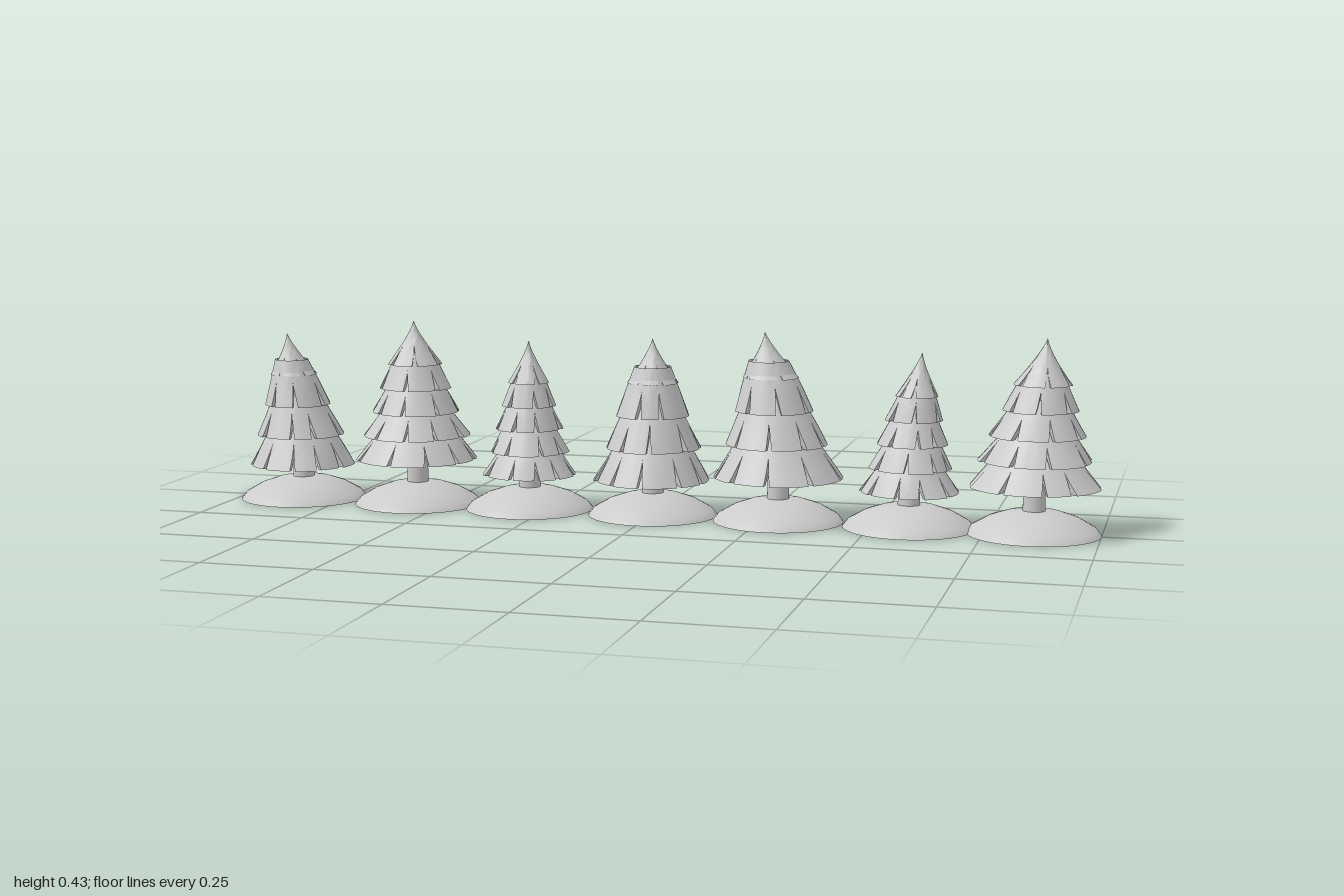
import * as THREE from 'three';
import { toCreasedNormals } from 'three/addons/utils/BufferGeometryUtils.js';

const material = new THREE.MeshStandardMaterial({ color: 0xcccccc, side: THREE.DoubleSide });

// x position, foliage bottom, tip height, skirt radius, tier count, sideways lean of the tip
const TREES = [
  [-0.855, 0.08, 0.387, 0.122, 4, -0.035],
  [-0.567, 0.105, 0.425, 0.142, 5, -0.005],
  [-0.293, 0.08, 0.387, 0.106, 5, 0],
  [0, 0.08, 0.4, 0.132, 4, 0],
  [0.29, 0.1, 0.422, 0.143, 4, -0.033],
  [0.583, 0.08, 0.387, 0.108, 5, 0.024],
  [0.855, 0.105, 0.425, 0.142, 5, 0.02],
];

function seeded(seed) {
  let s = seed;
  return () => (s = (s * 16807) % 2147483647) / 2147483647;
}

// One skirt of branches: thick panels that join at the top and part in wedge notches below
function tierGeometry({ y0, y1, radius, leaves, isTop, bend, random }) {
  const rows = 9, cols = 5, notchTop = isTop ? 0.4 : 0.5, thick = 0.013;
  const notch = Math.min(0.0065 / radius, 0.13);
  const positions = [], index = [];
  const edges = Array.from({ length: leaves }, (_, i) =>
    (i + (random() - 0.5) * 0.35) * 2 * Math.PI / leaves);
  edges.push(edges[0] + 2 * Math.PI);
  const offset = random() * 6;

  for (let leaf = 0; leaf < leaves; leaf++) {
    const start = positions.length / 3, ring = 2 * (cols + 1);
    const flare = (random() - 0.6) * 0.07;
    for (let i = 0; i <= rows; i++) {
      const t = i / rows;
      const open = Math.max(0, 1 - t / notchTop);
      const outer = radius * (isTop ? Math.pow(1 - t, 1.25) + 0.004 : 1 - 0.5 * t) * (1 + flare * open);
      const inner = Math.min(radius - thick + (0.015 - radius + thick) * t, outer * 0.85);
      const a0 = edges[leaf] + notch * open, a1 = edges[leaf + 1] - notch * open;
      for (let j = 0; j < ring; j++) {
        const onOuter = j <= cols;
        const a = offset + a0 + (a1 - a0) * (onOuter ? j : ring - 1 - j) / cols;
        const r = onOuter ? outer : inner;
        const y = y0 + (y1 - y0) * t * (onOuter ? 1 : 0.88);
        positions.push(r * Math.sin(a) + bend(y), y, r * Math.cos(a));
      }
    }
    const quad = (a, b, c, d) => index.push(a, b, c, a, c, d);
    for (let i = 0; i < rows; i++) {
      for (let j = 0; j < ring; j++) {
        const k = (j + 1) % ring, p = start + i * ring, q = p + ring;
        quad(p + j, p + k, q + k, q + j);
      }
    }
    // bottom edge of the panel
    for (let j = 0; j < cols; j++) {
      quad(start + j, start + ring - 1 - j, start + ring - 2 - j, start + j + 1);
    }
  }
  const geometry = new THREE.BufferGeometry();
  geometry.setAttribute('position', new THREE.Float32BufferAttribute(positions, 3));
  geometry.setIndex(index);
  return toCreasedNormals(geometry, 0.7);
}

function addMesh(parent, name, geometry) {
  const mesh = new THREE.Mesh(geometry, material);
  mesh.name = name;
  parent.add(mesh);
  return mesh;
}

function createTree([x, bottom, tip, radius, tiers, lean], number) {
  const tree = new THREE.Group();
  tree.name = `tree${number + 1}`;
  tree.position.x = x;
  const random = seeded(137 + number * 911);
  const span = tip - bottom;
  const bend = (y) => lean * Math.pow(Math.max(0, (y - bottom) / span), 1.5);

  // hollow ground mound
  const profile = [[0.146, 0], [0.135, 0.014], [0.1, 0.034], [0.062, 0.047], [0.03, 0.051], [0, 0.052]];
  addMesh(tree, 'mound', new THREE.LatheGeometry(
    profile.map(([r, y]) => new THREE.Vector2(r, y)), 40));

  // open tube trunk, running slightly through the mound
  const trunkTop = bottom + 0.06, trunkBottom = 0.043;
  const trunk = addMesh(tree, 'trunk', new THREE.CylinderGeometry(
    0.022, 0.025, trunkTop - trunkBottom, 24, 1, true));
  trunk.position.y = (trunkTop + trunkBottom) / 2;

  // overlapping branch tiers, the last one rising to the tip
  const step = 0.69 * span / (tiers - 1);
  for (let k = 0; k < tiers; k++) {
    const isTop = k === tiers - 1;
    const y0 = bottom + k * step;
    addMesh(tree, `branchTier${k + 1}`, tierGeometry({
      y0,
      y1: isTop ? tip : y0 + step * 1.5,
      radius: radius * (1 - 0.56 * k / (tiers - 1)),
      leaves: 10 - Math.round(4 * k / (tiers - 1)),
      isTop, bend, random,
    }));
  }
  return tree;
}

export function createModel() {
  const model = new THREE.Group();
  model.name = 'treeRow';
  TREES.forEach((spec, i) => model.add(createTree(spec, i)));
  return model;
}
